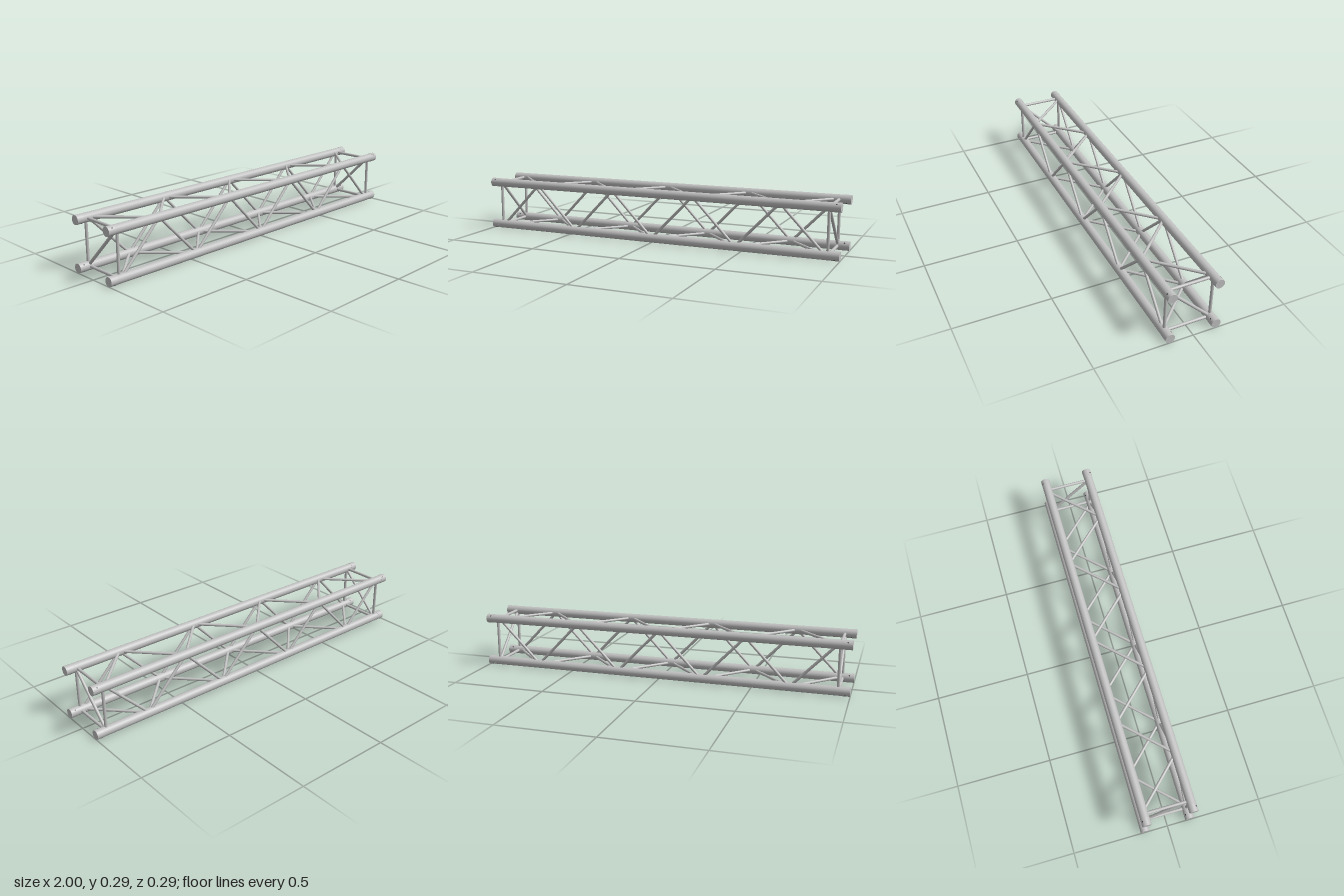
import * as THREE from 'three';

const R = 0.0241;          // coupler radius
const HALF = 0.12;         // half spacing of the chords
const MID = R + HALF;      // height of the truss axis
const BRACE = 0.0078;

export function createModel() {
  const truss = new THREE.Group();
  truss.name = 'boxTruss';
  const aluminium = new THREE.MeshStandardMaterial({ color: 0xc0c0c0 });
  aluminium.name = 'aluminium';
  const holeDark = new THREE.MeshStandardMaterial({ color: 0x505050 });
  holeDark.name = 'pinHoleDark';

  // Round bar between two points
  function bar(name, a, b, radius, sides, material = aluminium) {
    const dir = b.clone().sub(a);
    const mesh = new THREE.Mesh(new THREE.CylinderGeometry(radius, radius, dir.length(), sides), material);
    mesh.position.copy(a).add(b).multiplyScalar(0.5);
    mesh.quaternion.setFromUnitVectors(new THREE.Vector3(0, 1, 0), dir.normalize());
    mesh.name = name;
    truss.add(mesh);
  }

  // Point on the chord at corner [sy, sz]
  const at = (x, [sy, sz]) => new THREE.Vector3(x, MID + sy * HALF, sz * HALF);

  // Corners in ring order; neighbours share a lattice face
  const corners = [[1, 1], [-1, 1], [-1, -1], [1, -1]];

  corners.forEach((c, i) => {
    const next = corners[(i + 1) % 4];

    // Main tube with a slightly wider coupler at each end
    bar('chord', at(-0.964, c), at(0.964, c), R - 0.0006, 32);
    for (const s of [-1, 1]) {
      bar('endCoupler', at(s * 0.963, c), at(s, c), R, 32);

      // Pin hole running diagonally through the coupler
      const out = new THREE.Vector3(0, c[0], c[1]).normalize();
      for (const side of [-1, 1]) {
        const p = at(s * 0.976, c);
        bar('pinHole', p.clone().addScaledVector(out, side * (R - 0.002)),
          p.clone().addScaledVector(out, side * (R + 0.0003)), 0.004, 12, holeDark);
      }

      // Square end frame
      bar('endFrameBar', at(s * 0.94, c), at(s * 0.94, next), BRACE, 16);
    }

    // Zigzag lacing: even nodes on the bottom front and top back chords
    const even = c[0] !== c[1] ? c : next;
    const odd = c[0] !== c[1] ? next : c;
    for (let k = 0; k < 8; k++) {
      const x0 = -0.928 + k * 0.232;
      bar('lacingBar', at(x0, k % 2 ? odd : even), at(x0 + 0.232, k % 2 ? even : odd), BRACE * 0.95, 16);
    }
  });

  // Diagonal stiffener across each end frame
  for (const s of [-1, 1]) bar('endDiagonal', at(s * 0.94, [1, 1]), at(s * 0.94, [-1, -1]), BRACE, 16);

  return truss;
}
